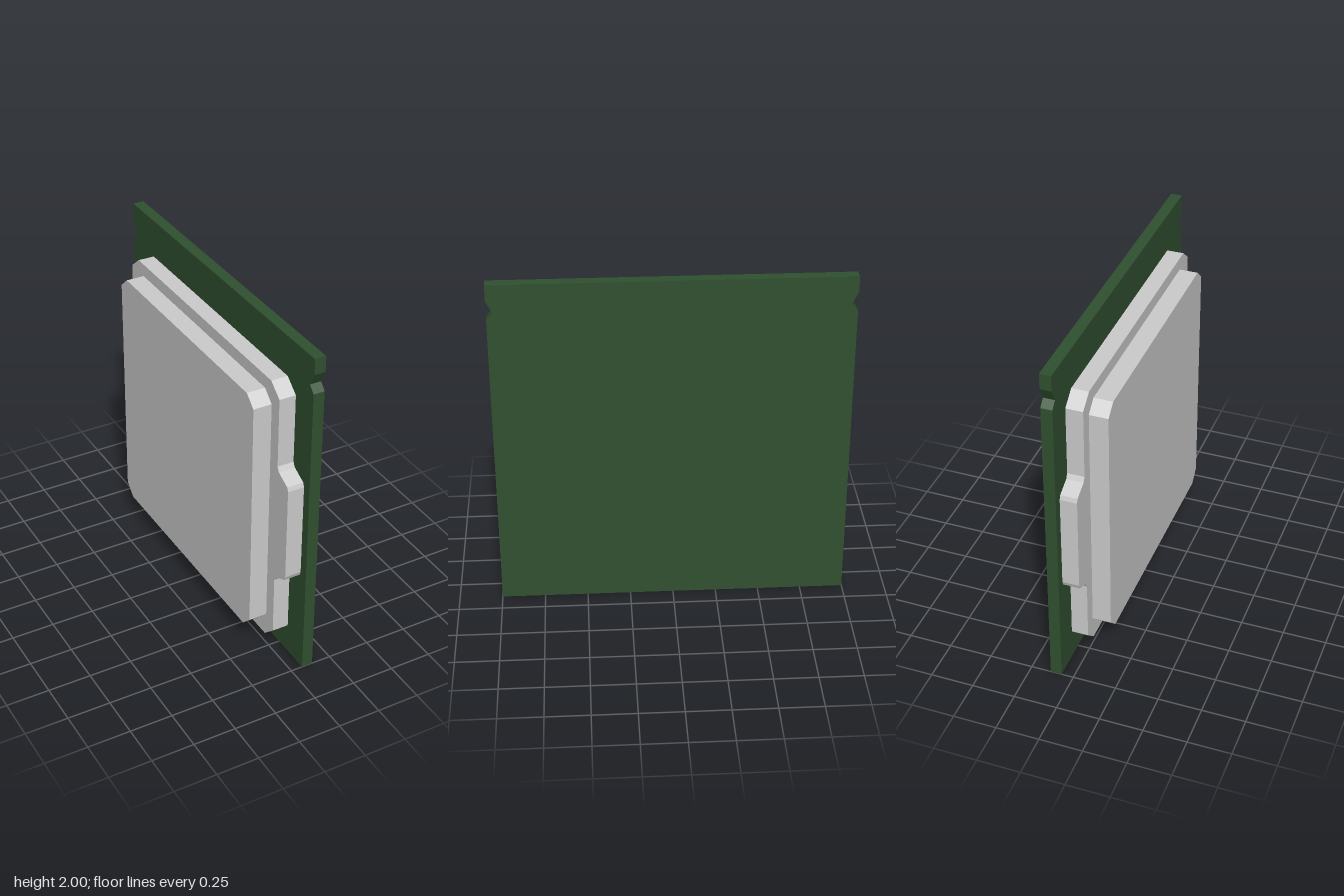
import * as THREE from 'three';

const grey = new THREE.MeshStandardMaterial({ color: 0xcccccc, flatShading: true });
const green = new THREE.MeshStandardMaterial({ color: 0x305030, flatShading: true });

// Plate from the +z half of its outline as [z, y] points (bottom to top), mirrored to -z
// and extruded along x from x0 to x1.
function plate(name, half, x0, x1, material) {
  const mirrored = half.map(([z, y]) => [-z, y]).reverse();
  const shape = new THREE.Shape([...half, ...mirrored].map(([z, y]) => new THREE.Vector2(z, y)));
  const geometry = new THREE.ExtrudeGeometry(shape, { depth: x1 - x0, bevelEnabled: false });
  geometry.rotateY(-Math.PI / 2).translate(x1, 0, 0);
  const mesh = new THREE.Mesh(geometry, material);
  mesh.name = name;
  return mesh;
}

export function createModel() {
  const group = new THREE.Group();
  group.name = 'processorChip';

  // Square circuit board with a small notch in each side edge
  const board = [[1, 0], [1, 1.795], [0.963, 1.834], [1, 1.908], [1, 2]];

  // Wide base of the heat spreader, with an ear on each side
  const base = [
    [0.75, 0.10], [0.835, 0.18],
    [0.835, 0.54], [0.85, 0.57], [0.937, 0.61], [0.946, 0.635],
    [0.946, 1.195], [0.937, 1.22], [0.85, 1.262], [0.835, 1.29],
    [0.835, 1.70], [0.75, 1.77],
  ];

  // Raised lid with clipped corners
  const lid = [[0.69, 0.175], [0.76, 0.245], [0.76, 1.633], [0.69, 1.695]];

  group.add(
    plate('circuitBoard', board, 0.07, 0.135, green),
    plate('heatSpreaderBase', base, -0.027, 0.07, grey),
    plate('heatSpreaderLid', lid, -0.135, -0.027, grey),
  );
  return group;
}
